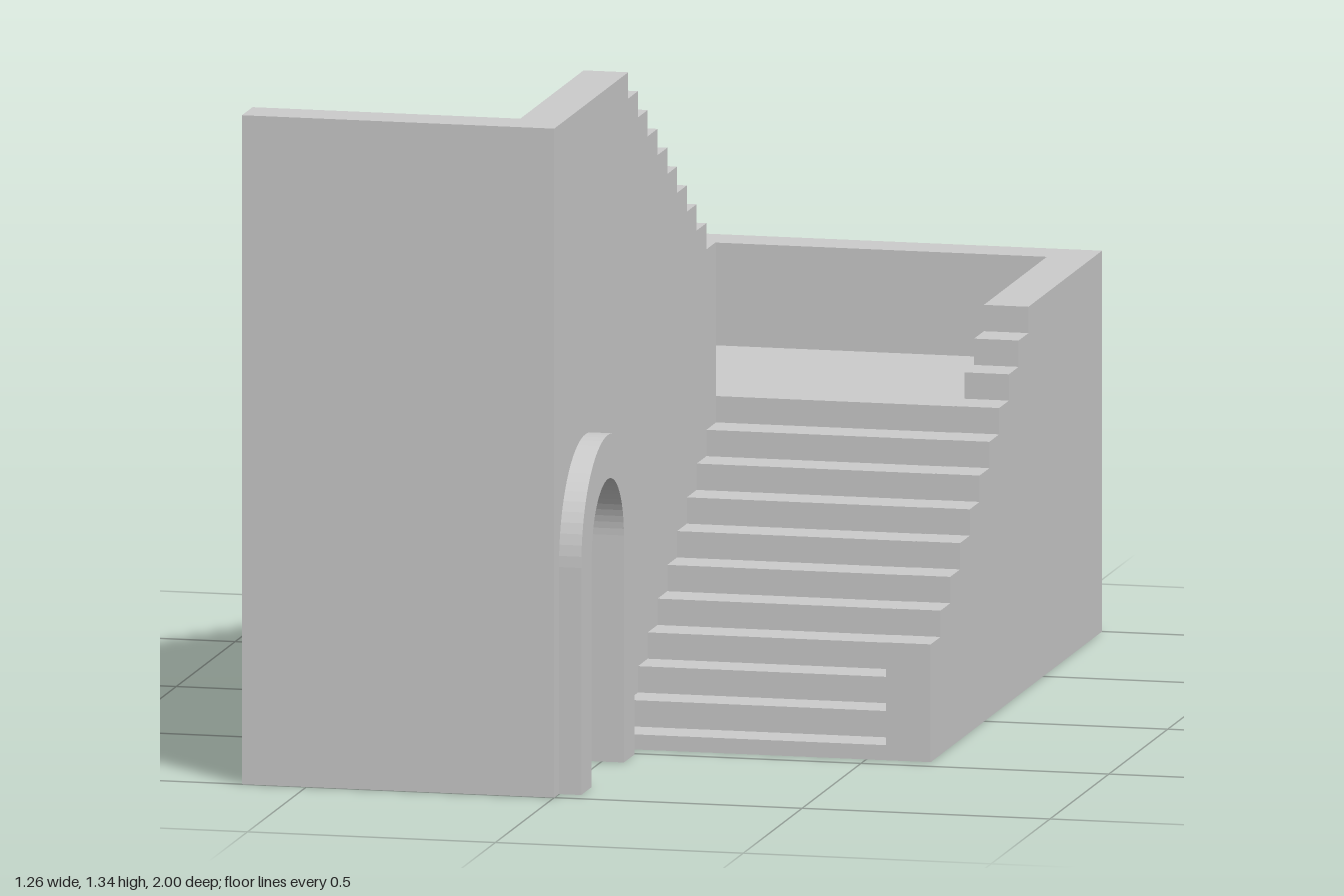
import * as THREE from 'three';

const RISE = 0.0525, RUN = 0.083;
const HALF = 0.63, BACK = -1, FRONT = 1, WALL = 0.09;
const FOOT = 0.455, TURN = FOOT - 10 * RUN; // z of the lower flight's foot and of the landing edge
const LANDING = 0.03 + 10 * RISE, PLATFORM = LANDING + 10 * RISE;
const PARAPET = 0.76, TOP = 1.335;
const DOOR = { z: 0.735, spring: 0.453 };

const stone = new THREE.MeshStandardMaterial({ color: 0xcccccc });
const dark = new THREE.MeshStandardMaterial({ color: 0x525252 });

// Shape drawn in (-z, y), so that a quarter turn stands it along x
const toShape = (points) => new THREE.Shape(points.map(([z, y]) => new THREE.Vector2(-z, y)));

function slab(name, points, x0, x1) {
  const geometry = new THREE.ExtrudeGeometry(toShape(points), { depth: x1 - x0, bevelEnabled: false });
  geometry.rotateY(Math.PI / 2).translate(x0, 0, 0);
  const mesh = new THREE.Mesh(geometry, stone);
  mesh.name = name;
  return mesh;
}

function box(name, x0, x1, height, z0, z1) {
  const geometry = new THREE.BoxGeometry(x1 - x0, height, z1 - z0);
  geometry.translate((x0 + x1) / 2, height / 2, (z0 + z1) / 2);
  const mesh = new THREE.Mesh(geometry, stone);
  mesh.name = name;
  return mesh;
}

// Stepped outline: treads start at z, each one run long, moving in direction dir
function steps(z, y, count, dir) {
  const points = [];
  for (let i = 0; i < count; i++) {
    points.push([z + dir * RUN * i, y + RISE * i], [z + dir * RUN * (i + 1), y + RISE * i]);
  }
  return points;
}

// Round-headed doorway outline, from its front foot over the top to its back foot
function arch(radius, segments = 32) {
  const points = [[DOOR.z + radius, 0]];
  for (let i = 0; i <= segments; i++) {
    const a = Math.PI * i / segments;
    points.push([DOOR.z + radius * Math.cos(a), DOOR.spring + radius * Math.sin(a)]);
  }
  points.push([DOOR.z - radius, 0]);
  return points;
}

export function createModel() {
  const group = new THREE.Group();
  group.name = 'staircase';
  const inBack = BACK + WALL, inFront = FRONT - WALL;

  // Lower flight climbing backwards, with its half of the landing
  group.add(slab('lowerFlight', [
    [FOOT, 0], ...steps(FOOT, 0.03, 10, -1),
    [TURN, LANDING], [inBack, LANDING], [inBack, 0],
  ], 0, HALF - WALL));

  // Stepped parapet beside the lower flight
  group.add(slab('lowerParapet', [
    [FOOT, 0], ...steps(FOOT, PARAPET - 10 * RISE, 10, -1),
    [TURN, PARAPET], [BACK, PARAPET], [BACK, 0],
  ], HALF - WALL, HALF));

  // Upper flight climbing forwards from the landing to the platform
  group.add(slab('upperFlight', [
    [inBack, 0], [inBack, LANDING], [TURN, LANDING],
    ...steps(TURN, LANDING + RISE, 9, 1),
    [TURN + 9 * RUN, PLATFORM], [inFront, PLATFORM], [inFront, 0],
  ], -HALF, -WALL));

  // Middle wall with stepped top and doorway
  group.add(slab('middleWall', [
    [inBack, 0], [inBack, LANDING], [TURN, LANDING],
    ...steps(TURN, TOP - 9 * RISE, 9, 1),
    [TURN + 9 * RUN, TOP], [FRONT, TOP], [FRONT, 0],
    ...arch(0.137),
  ], -WALL, 0));

  // Walls closing the landing and the platform
  group.add(box('backWall', -HALF, HALF - WALL, PARAPET, BACK, inBack));
  group.add(box('frontWall', -HALF, -WALL, TOP, inFront, FRONT));

  // Raised door surround
  group.add(slab('doorSurround', [...arch(0.225), ...arch(0.137).reverse()], 0, 0.045));

  // Dark panel at the back of the doorway
  const panelGeometry = new THREE.ShapeGeometry(toShape(arch(0.137)));
  panelGeometry.rotateY(Math.PI / 2).translate(-WALL + 0.002, 0, 0);
  const panel = new THREE.Mesh(panelGeometry, dark);
  panel.name = 'doorPanel';
  group.add(panel);

  return group;
}
